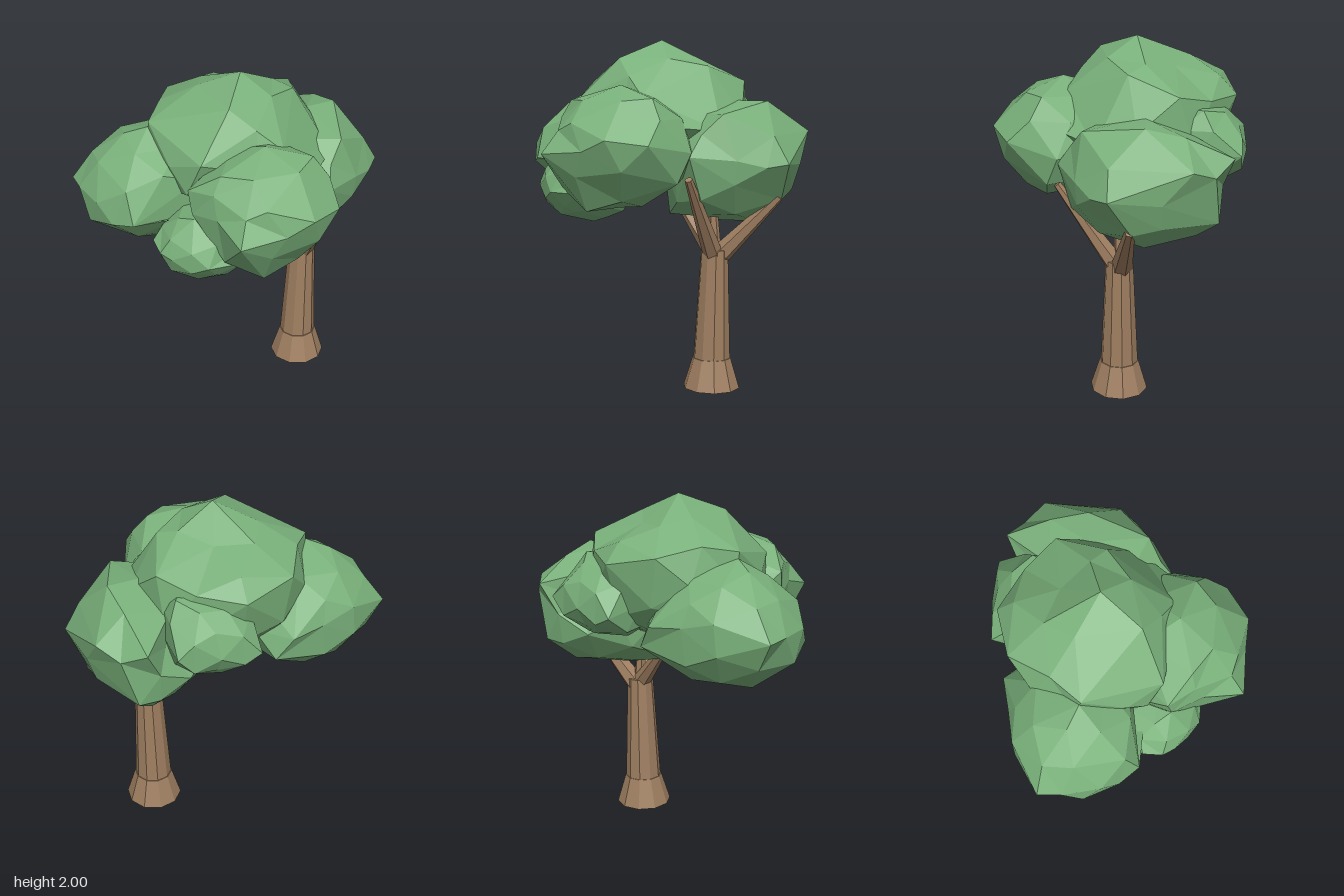
import * as THREE from 'three';
import { mergeVertices } from 'three/addons/utils/BufferGeometryUtils.js';

const bark = new THREE.MeshStandardMaterial({ color: 0x9f7f61, flatShading: true });
const leaf = new THREE.MeshStandardMaterial({ color: 0x79b07a, flatShading: true });

// Faceted clump of leaves: a coarse ball shaped to pass through a few corner points
function clump(name, points) {
  const corners = points.map((p) => new THREE.Vector3(...p));
  const box = new THREE.Box3().setFromPoints(corners);
  const centre = box.getCenter(new THREE.Vector3());
  const radii = box.getSize(new THREE.Vector3()).multiplyScalar(0.5);
  const unit = corners.map((c) => c.clone().sub(centre).divide(radii));
  const dirs = unit.map((u) => u.clone().normalize());

  let geo = new THREE.IcosahedronGeometry(1, 1);
  geo.deleteAttribute('uv');
  geo.deleteAttribute('normal');
  geo = mergeVertices(geo, 1e-3);
  const pos = geo.attributes.position;
  const ball = Array.from({ length: pos.count }, (_, i) => new THREE.Vector3().fromBufferAttribute(pos, i));

  // Each corner claims the nearest free vertex
  const claimed = new Map();
  dirs.forEach((d, k) => {
    let best = -1;
    ball.forEach((b, i) => {
      if (!claimed.has(i) && (best < 0 || b.distanceTo(d) < ball[best].distanceTo(d))) best = i;
    });
    claimed.set(best, k);
  });

  // The other vertices blend the reach of the corners around them
  ball.forEach((b, i) => {
    const v = b.clone();
    if (claimed.has(i)) v.copy(unit[claimed.get(i)]);
    else {
      let sum = 0, total = 0;
      dirs.forEach((d, k) => {
        const w = 1 / (b.distanceTo(d) ** 4 + 0.01);
        sum += w * unit[k].length();
        total += w;
      });
      v.multiplyScalar(0.94 * sum / total).clampScalar(-1, 1);
    }
    v.multiply(radii).add(centre);
    pos.setXYZ(i, v.x, v.y, v.z);
  });

  geo = geo.toNonIndexed();
  geo.computeVertexNormals();
  const mesh = new THREE.Mesh(geo, leaf);
  mesh.name = name;
  return mesh;
}

// Tapered limb between two points
function limb(name, from, to, r0, r1, sides) {
  const a = new THREE.Vector3(...from), b = new THREE.Vector3(...to);
  const dir = b.clone().sub(a);
  const mesh = new THREE.Mesh(new THREE.CylinderGeometry(r1, r0, dir.length(), sides), bark);
  mesh.position.copy(a).add(b).multiplyScalar(0.5);
  mesh.quaternion.setFromUnitVectors(new THREE.Vector3(0, 1, 0), dir.normalize());
  mesh.name = name;
  return mesh;
}

// Corner points of each leaf clump
const clumps = {
  topLeaves: [
    [0.04, 2, -0.09], [0.35, 1.855, -0.09], [-0.18, 1.9, -0.2], [-0.48, 1.75, -0.14],
    [-0.1, 1.9, 0.14], [0.1, 1.85, -0.31], [-0.26, 1.74, -0.55], [0.02, 1.68, -0.65],
    [0.43, 1.765, -0.38], [0.53, 1.5, 0.06], [0.35, 1.53, 0.31], [0.16, 1.69, 0.3],
    [-0.3, 1.66, 0.275], [-0.36, 1.45, 0.2], [0, 1.17, -0.2], [0.41, 1.5, -0.45], [-0.4, 1.4, -0.3],
  ],
  outerLeaves: [
    [-0.89, 1.36, -0.34], [-0.64, 1.45, -0.5], [-0.26, 1.38, -0.605], [-0.17, 1.25, -0.58],
    [-0.85, 1.205, -0.1], [-0.76, 1.27, 0.09], [-0.665, 1.3, 0.19], [-0.41, 1.3, 0.19],
    [-0.77, 1.54, -0.15], [-0.605, 1.67, -0.2], [-0.48, 1.715, -0.15], [-0.64, 1.04, -0.2],
    [-0.46, 1.025, -0.1], [-0.05, 1.3, -0.2], [-0.4, 1.08, -0.42], [-0.45, 1.4, -0.55],
  ],
  frontLeaves: [
    [0.04, 1.755, 0.33], [0.29, 1.69, 0.4], [-0.235, 1.67, 0.42], [-0.385, 1.55, 0.31],
    [-0.06, 1.56, 0.66], [-0.22, 1.39, 0.72], [0.19, 1.48, 0.71], [0.38, 1.45, 0.58],
    [0.465, 1.395, 0.28], [0.42, 1.23, 0.35], [0.225, 1.1, 0.4], [-0.035, 1.07, 0.56],
    [-0.03, 1.27, 0.67], [-0.24, 1.18, 0.5], [-0.14, 1.09, 0.3], [0.03, 1.4, -0.05],
    [-0.28, 1.45, 0.5],
  ],
  sideLeaves: [
    [0.66, 1.66, -0.23], [0.57, 1.6, 0.12], [0.45, 1.37, 0.28], [0.67, 1.35, 0.14],
    [0.88, 1.325, -0.07], [0.79, 1.48, -0.5], [0.815, 1.3, -0.345], [0.56, 1.49, -0.69],
    [0.62, 1.61, -0.44], [0.78, 1.11, -0.18], [0.6, 1.14, -0.62], [0.5, 1.02, -0.49],
    [0.6, 0.97, -0.22], [0.39, 0.96, -0.2], [0.135, 1, -0.03], [0.3, 1.1, 0.16],
    [0.08, 1.3, -0.2], [0.42, 1.4, -0.5],
  ],
  backLeaves: [
    [-0.05, 1.4, -0.7], [0.18, 1.42, -0.725], [0.41, 1.45, -0.715], [0.36, 1.68, -0.5],
    [0.2, 1.56, -0.68], [0.15, 1.27, -0.63], [0, 1.64, -0.4], [0.2, 1.2, -0.4],
    [0.42, 1.35, -0.45], [0.2, 1.6, -0.2],
  ],
  lowerLeaves: [
    [-0.55, 1.18, 0.31], [-0.56, 1.2, 0.2], [-0.36, 1.375, 0.33], [-0.27, 1.27, 0.46],
    [-0.33, 1.15, 0.5], [-0.14, 1.15, 0.5], [-0.405, 0.975, 0.2], [-0.23, 0.955, 0.22],
    [-0.035, 1.03, 0.2], [-0.2, 1.04, 0.42], [-0.25, 1, 0], [0.02, 1.2, 0.1], [-0.45, 1.1, 0],
  ],
};

export function createModel() {
  const tree = new THREE.Group();
  tree.name = 'tree';

  // Trunk with flared foot
  tree.add(
    limb('trunkFoot', [0.412, 0, -0.05], [0.412, 0.175, -0.052], 0.165, 0.112, 10),
    limb('trunk', [0.412, 0.17, -0.052], [0.424, 0.815, -0.055], 0.108, 0.078, 10)
  );

  // Branches reaching into the crown
  tree.add(
    limb('frontBranch', [0.425, 0.76, -0.05], [0.45, 1.25, 0.285], 0.06, 0.022, 6),
    limb('sideBranch', [0.44, 0.77, -0.07], [0.77, 1.13, -0.17], 0.062, 0.028, 6),
    limb('innerBranch', [0.42, 0.78, -0.06], [0.18, 1.05, -0.09], 0.056, 0.028, 6),
    limb('centreBranch', [0.425, 0.8, -0.06], [0.41, 1.1, -0.05], 0.035, 0.025, 6)
  );

  // Crown
  for (const [name, points] of Object.entries(clumps)) tree.add(clump(name, points));

  return tree;
}
